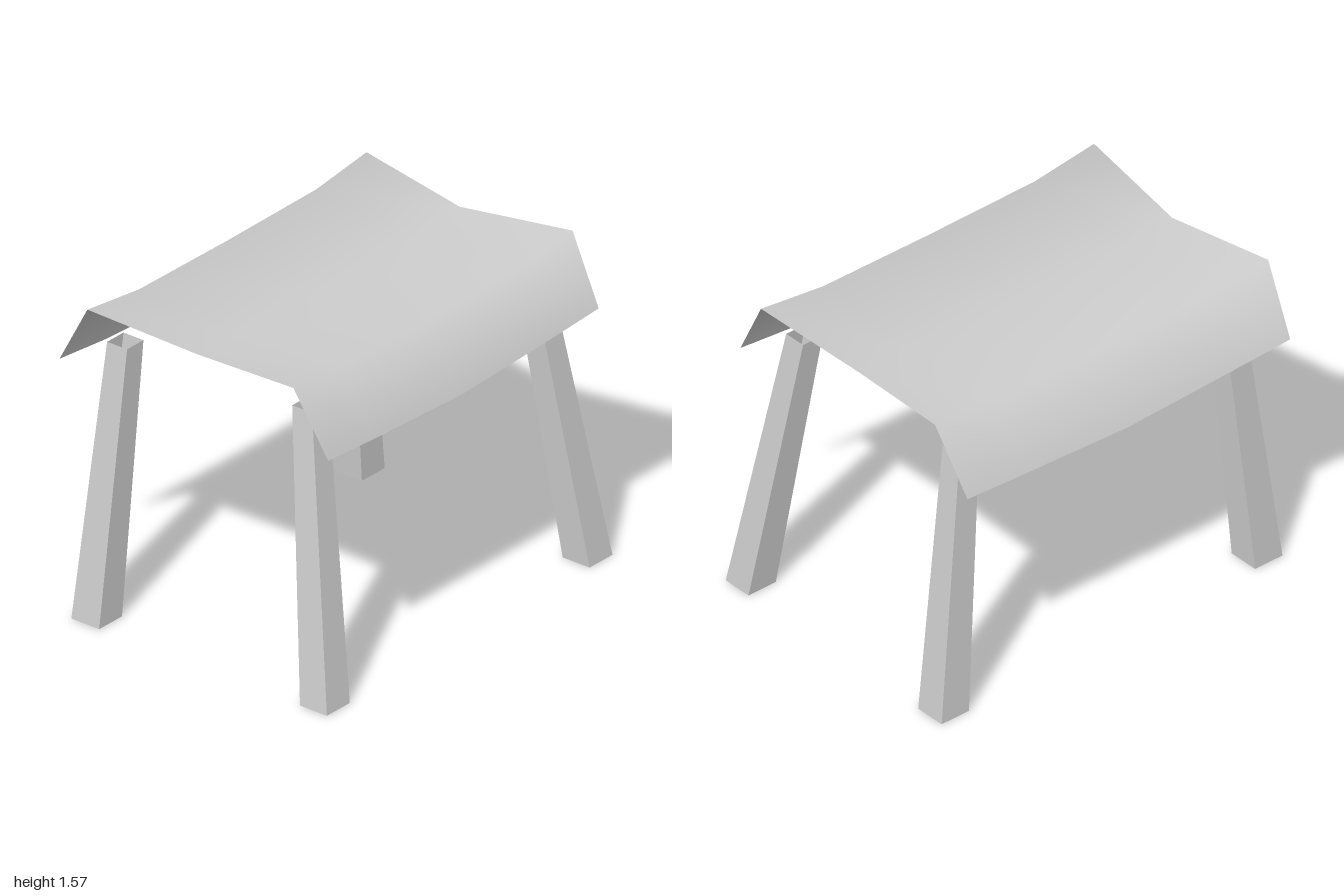
import * as THREE from 'three';

const grey = new THREE.MeshStandardMaterial({ color: 0xcccccc, side: THREE.DoubleSide });
grey.name = 'plain grey';

// Canopy sections across x: position, end height, middle height, z reach
const SECTIONS = [
  { xEnd: -0.79, xMid: -0.78, yEnd: 1.25, ySide: 1.225, yMid: 1.2, back: -0.94, front: 0.955 },
  { xEnd: -0.605, xMid: -0.6, yEnd: 1.57, ySide: 1.53, yMid: 1.525, back: -0.97, front: 0.985 },
  { xEnd: -0.02, xMid: -0.02, yEnd: 1.515, ySide: 1.505, yMid: 1.5, back: -0.91, front: 0.925 },
  { xEnd: 0.58, xMid: 0.575, yEnd: 1.57, ySide: 1.53, yMid: 1.525, back: -0.97, front: 0.985 },
  { xEnd: 0.755, xMid: 0.748, yEnd: 1.25, ySide: 1.225, yMid: 1.2, back: -0.94, front: 0.955 },
];

// Thin sagging sheet with its sides folded down
function makeCanopy() {
  const geo = new THREE.PlaneGeometry(1, 1, 4, 4);
  const pos = geo.attributes.position;
  for (let row = 0; row < 5; row++) {
    SECTIONS.forEach((s, col) => {
      const x = row === 0 || row === 4 ? s.xEnd : s.xMid;
      const y = [s.yEnd, s.ySide, s.yMid, s.ySide, s.yEnd][row];
      const z = [s.back, -0.61, 0.01, 0.63, s.front][row];
      pos.setXYZ(row * 5 + col, x, y, z);
    });
  }
  geo.computeVertexNormals();
  const mesh = new THREE.Mesh(geo, grey);
  mesh.name = 'canopy';
  return mesh;
}

// Open, tapered, leaning square tube; x and z are [low, high] ranges
function makeLeg(name, height, bottom, top) {
  const geo = new THREE.CylinderGeometry(1, 1, height, 4, 1, true).rotateY(Math.PI / 4).toNonIndexed();
  const pos = geo.attributes.position;
  for (let i = 0; i < pos.count; i++) {
    const up = pos.getY(i) > 0;
    const end = up ? top : bottom;
    pos.setXYZ(i, end.x[pos.getX(i) > 0 ? 1 : 0], up ? height : 0, end.z[pos.getZ(i) > 0 ? 1 : 0]);
  }
  geo.computeVertexNormals();
  const mesh = new THREE.Mesh(geo, grey);
  mesh.name = name;
  return mesh;
}

export function createModel() {
  const group = new THREE.Group();
  group.name = 'canopyShelter';
  group.add(makeCanopy());

  const sides = [
    { name: 'Right', height: 1.345, bottom: [-0.685, -0.525], top: [-0.615, -0.5] },
    { name: 'Left', height: 1.38, bottom: [0.63, 0.785], top: [0.45, 0.565] },
  ];
  for (const s of sides) {
    for (const end of ['front', 'back']) {
      const range = (a, b) => (end === 'front' ? [a, b] : [-b, -a]);
      group.add(makeLeg(end + s.name + 'Leg', s.height,
        { x: s.bottom, z: range(0.84, 1) },
        { x: s.top, z: range(0.72, 0.835) }));
    }
  }
  return group;
}
